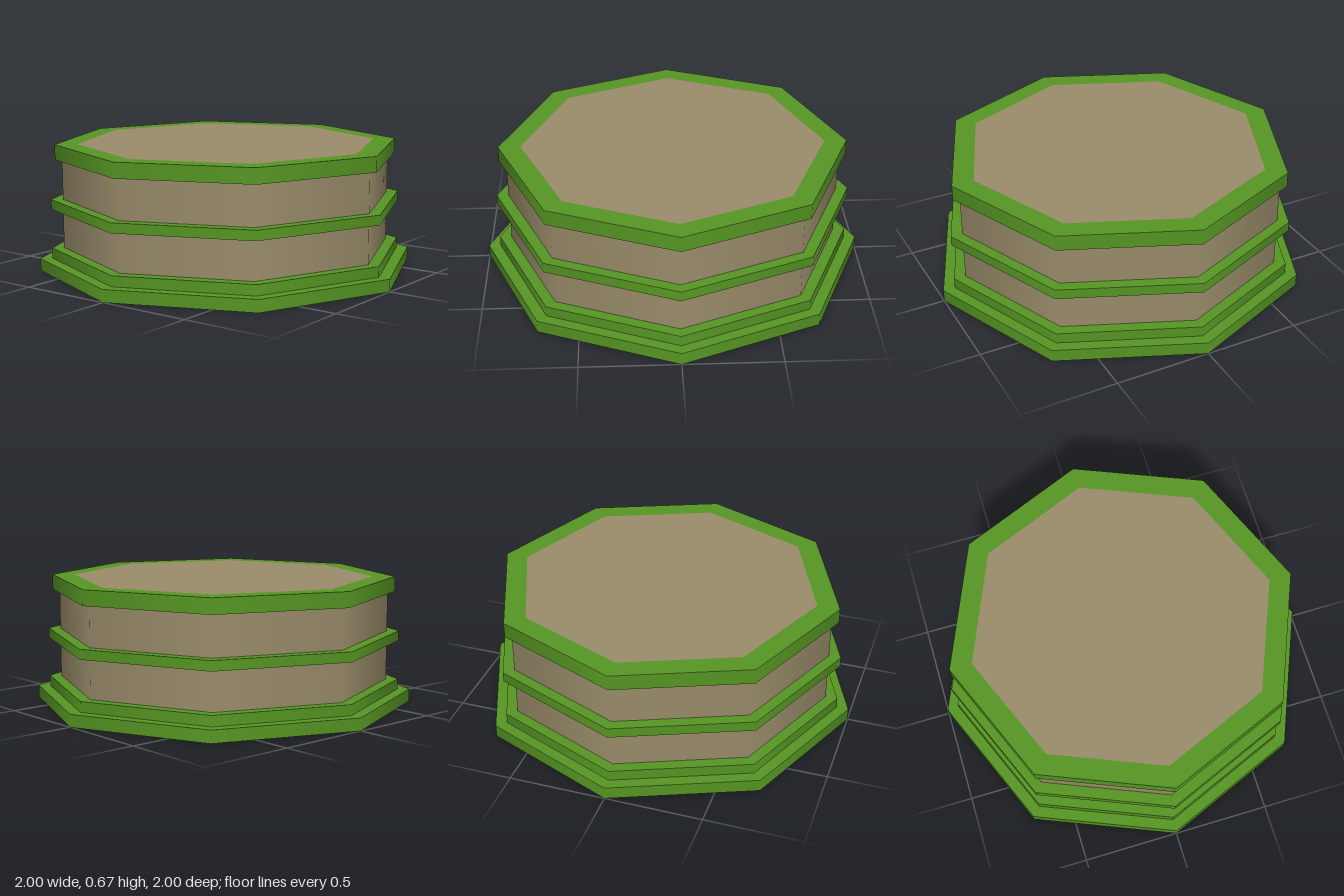
import * as THREE from 'three';
import { mergeGeometries } from 'three/addons/utils/BufferGeometryUtils.js';

const SIDES = 8;
const CORE = 0.875;   // radius of the stone drum
const PANEL = 0.795;  // radius of the top inlay
const HEIGHT = 0.67;

const stone = new THREE.MeshStandardMaterial({ color: 0x998c6a });
stone.name = 'stone';
const green = new THREE.MeshStandardMaterial({ color: 0x569623 });
green.name = 'green';

// Eight-sided wall with smooth normals, corners on the x and z axes
function wall(radius, y0, y1) {
  return new THREE.CylinderGeometry(radius, radius, y1 - y0, SIDES, 1, true).translate(0, (y0 + y1) / 2, 0);
}

// Flat octagonal ring facing up or down
function ring(inner, outer, y, up) {
  return new THREE.RingGeometry(inner, outer, SIDES, 1).rotateX(up ? -Math.PI / 2 : Math.PI / 2).translate(0, y, 0);
}

// Flat octagonal disc facing up or down
function disc(radius, y, up) {
  return new THREE.CircleGeometry(radius, SIDES).rotateX(up ? -Math.PI / 2 : Math.PI / 2).translate(0, y, 0);
}

export function createModel() {
  const model = new THREE.Group();
  model.name = 'octagonalPedestal';

  function add(name, geometry, material) {
    const mesh = new THREE.Mesh(geometry, material);
    mesh.name = name;
    model.add(mesh);
  }

  // Stone drum, with its underside and top inlay
  add('drumWall', wall(CORE, 0, HEIGHT - 0.08), stone);
  add('drumUnderside', disc(CORE, 0, false), stone);
  add('topPanel', disc(PANEL, HEIGHT, true), stone);

  // Green bands: name, outer radius, bottom, top, inner radius of the top face
  const bands = [
    ['baseBand', 1, 0, 0.065, CORE],
    ['stepBand', 0.937, 0.065, 0.12, CORE],
    ['middleBand', 0.937, 0.328, 0.38, CORE],
    ['rimBand', 0.912, HEIGHT - 0.08, HEIGHT, PANEL],
  ];
  for (const [name, radius, y0, y1, inner] of bands) {
    const parts = [wall(radius, y0, y1), ring(inner, radius, y1, true)];
    if (name !== 'stepBand') parts.push(ring(CORE, radius, y0, false));
    add(name, mergeGeometries(parts), green);
  }

  return model;
}
